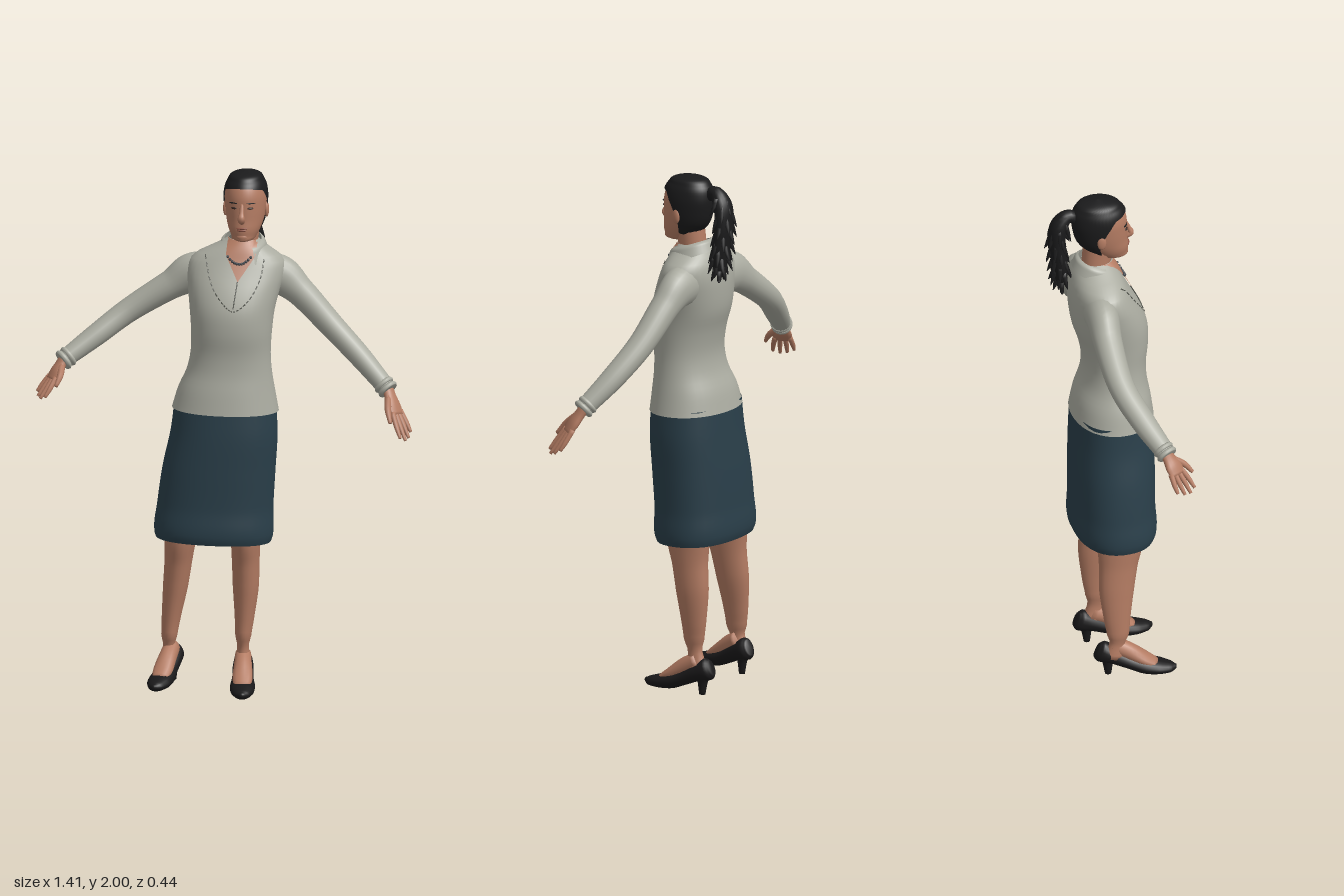
import * as THREE from 'three';

const paint = (name, color, side = THREE.FrontSide) => {
  const m = new THREE.MeshStandardMaterial({ color, side });
  m.name = name;
  return m;
};
const V = (x, y, z) => new THREE.Vector3(x, y, z);
const lerp = THREE.MathUtils.lerp;

// Smooth skin over a grid of points f(u, v); closed round u unless open is set.
function surface(f, nu, nv, open = false) {
  const pos = [], idx = [], cols = open ? nu + 1 : nu;
  for (let j = 0; j <= nv; j++)
    for (let i = 0; i < cols; i++) pos.push(...f(i / nu, j / nv, j).toArray());
  for (let j = 0; j < nv; j++)
    for (let i = 0; i < nu; i++) {
      const k = (i + 1) % cols, a = j * cols + i, b = j * cols + k;
      idx.push(a, b, b + cols, a, b + cols, a + cols);
    }
  const g = new THREE.BufferGeometry();
  g.setAttribute('position', new THREE.Float32BufferAttribute(pos, 3));
  g.setIndex(idx);
  g.computeVertexNormals();
  return g;
}

// Capped limb along points [x, y, z, radius along ref, other radius].
function sweep(pts, ref, nv = 20, nu = 16) {
  const path = new THREE.CatmullRomCurve3(pts.map(p => V(p[0], p[1], p[2])));
  const radii = new THREE.CatmullRomCurve3(pts.map(p => V(p[3], p[4] ?? p[3], 0)));
  return surface((u, v, j) => {
    const t = THREE.MathUtils.clamp((j - 1) / nv, 0, 1);
    const T = path.getTangent(t), r = radii.getPoint(t), c = path.getPoint(t);
    if (j === 0 || j === nv + 2) return c;
    const N = ref.clone().addScaledVector(T, -ref.dot(T)).normalize();
    const B = T.clone().cross(N), a = u * Math.PI * 2;
    return c.addScaledVector(N, r.x * Math.cos(a)).addScaledVector(B, r.y * Math.sin(a));
  }, nu, nv + 2);
}

// Interpolated horizontal section [cx, cz, rx, rz] from rows [y, cx, cz, rx, rz].
function sections(rows) {
  const s = new THREE.CubicInterpolant(rows.map(r => r[0]), rows.flatMap(r => r.slice(1)), 4, new Float32Array(4));
  return y => [...s.evaluate(y)];
}
function sectionPoint(at, y, a, power = 2) {
  const [cx, cz, rx, rz] = at(y), c = Math.cos(a), s = Math.sin(a);
  const k = Math.pow(Math.abs(c) ** power + Math.abs(s) ** power, -1 / power);
  return V(cx + rx * k * c, y, cz - rz * k * s);
}
function loft(at, y0, y1, power, tilt, ease) {
  return surface((u, v) => {
    const y = lerp(y0, y1, ease ? (1 - Math.cos(Math.PI * v)) / 2 : v);
    const p = sectionPoint(at, y, u * Math.PI * 2, power);
    p.y += tilt * p.x;
    return p;
  }, 40, 32);
}

export function createModel() {
  const skin = paint('skin', 0xb47c63), knit = paint('sweater grey', 0xabaca1, THREE.DoubleSide);
  const cloth = paint('skirt blue', 0x2a3f4a, THREE.DoubleSide), hair = paint('hair black', 0x1b1b1c, THREE.DoubleSide);
  const leather = paint('shoe black', 0x1a191a), seam = paint('seam grey', 0x55574f);
  const lip = paint('lip brown', 0x8c5344), eye = paint('eye brown', 0x3a2a24), metal = paint('necklace grey', 0x454a50);
  const X = V(1, 0, 0), Z = V(0, 0, 1);
  const model = new THREE.Group();
  const group = (name, parent = model) => {
    const g = new THREE.Group();
    g.name = name;
    parent.add(g);
    return g;
  };
  const add = (name, geo, mat, parent = model) => {
    const m = new THREE.Mesh(geo, mat);
    m.name = name;
    parent.add(m);
    return m;
  };

  // Sweater body and skirt
  const torso = sections([
    [1.09, 0.005, 0.014, 0.2, 0.153], [1.17, 0.01, 0.018, 0.181, 0.14], [1.24, 0.02, 0.026, 0.16, 0.122],
    [1.31, 0.025, 0.03, 0.15, 0.117], [1.4, 0.028, 0.028, 0.152, 0.129], [1.48, 0.03, 0.014, 0.16, 0.139],
    [1.55, 0.036, -0.002, 0.172, 0.131], [1.62, 0.045, -0.02, 0.182, 0.113], [1.665, 0.052, -0.027, 0.17, 0.098],
    [1.69, 0.058, -0.027, 0.135, 0.088], [1.71, 0.064, -0.025, 0.098, 0.077], [1.74, 0.072, -0.022, 0.055, 0.056]]);
  add('sweater', loft(torso, 1.09, 1.74, 2.15, -0.03), knit);
  const skirt = sections([
    [0.587, -0.04, 0.003, 0.216, 0.147], [0.6, -0.04, 0.003, 0.221, 0.153], [0.72, -0.033, 0.003, 0.217, 0.153],
    [0.86, -0.019, 0.007, 0.211, 0.153], [1, 0, 0.012, 0.2, 0.15], [1.11, 0.005, 0.013, 0.191, 0.145]]);
  add('skirt', loft(skirt, 0.587, 1.11, 2.35, -0.04), cloth);

  // Point on the chest, raised off the sweater
  const chest = (x, y, lift) => {
    const [cx, cz, rx, rz] = torso(y), q = Math.min(1, Math.abs((x - cx) / rx));
    return V(x, y - 0.03 * x, cz + rz * Math.pow(1 - q ** 2.15, 1 / 2.15) + lift);
  };
  // Open neckline, placket, V seam and necklace
  add('neckline', surface((u, v) => {
    const y = lerp(1.595, 1.74, v), w = Math.min(0.056, 0.6 * (y - 1.595));
    return chest(lerp(0.053, 0.07, v) + (u * 2 - 1) * w, y, 0.005);
  }, 12, 12, true), skin);
  const stitch = (name, a, b) => add(name, new THREE.TubeGeometry(new THREE.LineCurve3(a, b), 1, 0.0022, 5), seam);
  const vee = new THREE.CatmullRomCurve3([[-0.07, 1.68], [-0.045, 1.58], [0, 1.515], [0.037, 1.49], [0.09, 1.525],
    [0.135, 1.6], [0.152, 1.68]].map(p => V(p[0], p[1], 0)));
  for (let i = 0; i < 26; i++) {
    const [a, b] = [i / 26, (i + 0.65) / 26].map(t => vee.getPoint(t));
    stitch('neckSeam', chest(a.x, a.y, 0.001), chest(b.x, b.y, 0.001));
  }
  for (let i = 0; i < 4; i++)
    stitch('placket', chest(0.053 - 0.004 * i, 1.6 - 0.025 * i, 0.002), chest(0.049 - 0.004 * i, 1.575 - 0.025 * i, 0.002));
  for (let i = 0; i <= 10; i++) {
    const t = i / 5 - 1;
    add('necklaceBead', new THREE.SphereGeometry(0.0055, 8, 6), metal).position.copy(chest(0.058 + 0.043 * t, 1.658 + 0.025 * t * t, 0.008));
  }
  // Folded shirt collar, open at the front
  add('collar', surface((u, v) => {
    const a = lerp(0.5, Math.PI * 2 - 0.5, u), back = (1 - Math.cos(a)) / 2;
    const fold = Math.sin(Math.min(1, v * 3) * Math.PI / 2);
    const r = lerp(0.068, 0.076, fold) + 0.02 * v;
    const y = lerp(1.712, 1.757, back) + 0.006 * fold - v * lerp(0.072, 0.045, back);
    return V(0.07 + r * 1.02 * Math.sin(a), y, -0.022 + r * lerp(1.12, 0.98, back) * Math.cos(a));
  }, 36, 10, true), knit);

  // Arms and hands
  function hand(parent, wrist, tip, s) {
    const d = tip.clone().sub(wrist), at = (t, k) => wrist.clone().addScaledVector(d, t).addScaledVector(s, k).toArray();
    add('palm', sweep([[...at(-0.1, 0), 0.026, 0.022], [...at(0.1, 0), 0.027, 0.018],
      [...at(0.32, 0.002), 0.037, 0.017], [...at(0.52, 0), 0.034, 0.011]], s, 12, 14), skin, parent);
    [0.9, 0.99, 1.02, 0.95].forEach((len, i) => {
      const k = (i - 1.5) * 0.018;
      add('finger', sweep([[...at(0.45, k), 0.0105], [...at(0.72, k * 1.35), 0.0095], [...at(len, k * 1.5), 0.006]], s, 8, 8), skin, parent);
    });
    add('thumb', sweep([[...at(0.15, 0.015), 0.014], [...at(0.38, 0.05), 0.012], [...at(0.62, 0.066), 0.007]], d.clone().normalize(), 8, 8), skin, parent);
  }
  const arms = {
    rightArm: [[[-0.03, 1.59, -0.045, 0.07, 0.085], [-0.12, 1.59, -0.055, 0.062, 0.079], [-0.2, 1.545, -0.062, 0.055, 0.056],
      [-0.36, 1.445, -0.057, 0.049, 0.046], [-0.48, 1.36, -0.012, 0.046, 0.042], [-0.6, 1.277, 0.045, 0.036, 0.034]],
      V(-0.69, 1.145, 0.1), V(0.45, 0, 0.89)],
    leftArm: [[[0.13, 1.6, -0.04, 0.07, 0.085], [0.21, 1.585, -0.045, 0.062, 0.077], [0.28, 1.53, -0.037, 0.055, 0.056],
      [0.4, 1.405, -0.012, 0.05, 0.047], [0.51, 1.295, 0.035, 0.046, 0.042], [0.615, 1.185, 0.1, 0.036, 0.034]],
      V(0.69, 1.015, 0.19), V(-0.5, 0, 0.86)],
  };
  for (const [name, [pts, tip, spread]] of Object.entries(arms)) {
    const g = group(name), wrist = V(...pts[5]), dir = wrist.clone().sub(V(...pts[4])).normalize();
    add('sleeve', sweep(pts, Z, 32, 20), knit, g);
    for (const k of [-0.022, 0]) {
      const [a, b, c] = [-0.009, 0, 0.009].map(e => wrist.clone().addScaledVector(dir, k + e).toArray());
      add('cuff', sweep([[...a, 0.037], [...b, 0.041], [...c, 0.037]], Z, 6, 18), knit, g);
    }
    hand(g, wrist, tip, spread);
  }

  // Legs and shoes
  const legs = {
    rightLeg: [[[-0.13, 0.82, 0, 0.078, 0.09], [-0.163, 0.6, -0.003, 0.062, 0.09], [-0.172, 0.5, -0.012, 0.052, 0.075],
      [-0.183, 0.4, -0.022, 0.047, 0.068], [-0.199, 0.28, -0.025, 0.036, 0.052], [-0.207, 0.2, -0.024, 0.03, 0.042],
      [-0.208, 0.11, -0.035, 0.03, 0.042]], -0.26, 0.028],
    leftLeg: [[[0.08, 0.82, 0, 0.078, 0.09], [0.08, 0.6, -0.003, 0.058, 0.092], [0.08, 0.5, -0.012, 0.052, 0.075],
      [0.08, 0.4, -0.022, 0.049, 0.068], [0.075, 0.28, -0.025, 0.037, 0.052], [0.07, 0.2, -0.024, 0.03, 0.042],
      [0.07, 0.09, -0.037, 0.03, 0.042]], 0.01, 0],
  };
  for (const [name, [pts, turn, lift]] of Object.entries(legs)) {
    const g = group(name), foot = group('foot', g);
    add('leg', sweep(pts, X, 32, 20), skin, g);
    foot.position.set(pts[6][0], lift, 0);
    foot.rotation.y = turn;
    add('instep', sweep([[0, 0.13, -0.045, 0.03, 0.035], [0, 0.1, 0.015, 0.034, 0.033], [0, 0.065, 0.075, 0.038, 0.024],
      [0, 0.042, 0.12, 0.03, 0.015]], X, 12, 14), skin, foot);
    add('shoe', sweep([[0, 0.108, -0.103, 0.018, 0.03], [0, 0.1, -0.085, 0.034, 0.043], [0, 0.083, -0.04, 0.039, 0.034],
      [0, 0.056, 0.02, 0.04, 0.03], [0, 0.036, 0.08, 0.047, 0.031], [0, 0.028, 0.13, 0.045, 0.026],
      [0, 0.023, 0.175, 0.029, 0.018], [0, 0.024, 0.196, 0.008, 0.008]], X, 28, 18), leather, foot);
    add('heel', sweep([[0, 0.085, -0.066, 0.03, 0.032], [0, 0.05, -0.062, 0.018, 0.02], [0, 0, -0.06, 0.011, 0.012]], X, 10, 12), leather, foot);
  }

  // Head and neck
  add('neck', sweep([[0.07, 1.65, -0.025, 0.056], [0.076, 1.72, -0.022, 0.051, 0.055], [0.08, 1.81, -0.012, 0.052, 0.056]], X), skin);
  const head = group('head');
  head.position.x = 0.08;
  head.rotation.y = -0.12;
  const skull = sections([
    [1.738, 0, 0.06, 0, 0], [1.745, 0, 0.05, 0.03, 0.042], [1.765, 0, 0.035, 0.049, 0.064], [1.79, 0, 0.022, 0.061, 0.08],
    [1.82, 0, 0.006, 0.07, 0.093], [1.87, 0, -0.003, 0.077, 0.1], [1.92, 0, -0.007, 0.077, 0.1],
    [1.96, 0, -0.011, 0.064, 0.084], [1.983, 0, -0.013, 0.041, 0.052], [1.992, 0, -0.014, 0, 0]]);
  add('face', loft(skull, 1.738, 1.992, 2, 0, true), skin, head);
  add('nose', sweep([[0, 1.888, 0.09, 0.007], [0, 1.855, 0.104, 0.009], [0, 1.834, 0.112, 0.014, 0.012], [0, 1.822, 0.094, 0.012]], X, 12, 12), skin, head);
  const blob = (name, mat, x, y, z, rx, ry, rz) => {
    const m = add(name, new THREE.SphereGeometry(1, 16, 12), mat, head);
    m.position.set(x, y, z);
    m.scale.set(rx, ry, rz);
    return m;
  };
  blob('upperLip', lip, 0, 1.797, 0.099, 0.021, 0.004, 0.007);
  blob('lowerLip', lip, 0, 1.789, 0.098, 0.018, 0.005, 0.007);
  blob('chin', skin, 0, 1.762, 0.085, 0.024, 0.017, 0.017);
  for (const s of [-1, 1]) {
    blob('eye', eye, s * 0.031, 1.873, 0.088, 0.012, 0.0045, 0.005).rotation.y = s * 0.4;
    blob('eyebrow', hair, s * 0.033, 1.892, 0.086, 0.018, 0.0025, 0.005).rotation.y = s * 0.4;
    blob('ear', skin, s * 0.078, 1.85, -0.012, 0.009, 0.029, 0.017);
  }

  // Swept-back hair with its hairline
  const line = new THREE.LinearInterpolant([-1, -0.4, -0.12, 0.1, 0.45, 1], [1.778, 1.785, 1.845, 1.885, 1.93, 1.942], 1, new Float32Array(1));
  const pivot = V(0, 1.87, -0.005);
  add('hair', surface((u, v) => {
    const a = u * Math.PI * 2, low = line.evaluate(-Math.sin(a))[0];
    const y = 1.992 - (1.992 - low) * (1 - v) ** 2;
    return sectionPoint(skull, y, a).sub(pivot).multiplyScalar(1.066).add(pivot);
  }, 48, 24), hair, head);

  // Ponytail with loose pointed strands
  const tail = group('ponytail');
  tail.position.x = 0.085;
  const tailPts = [[0, 1.92, -0.09, 0.022], [0, 1.943, -0.13, 0.026], [0.002, 1.9, -0.166, 0.042, 0.032], [0.004, 1.82, -0.172, 0.044, 0.032],
    [0.006, 1.74, -0.162, 0.043, 0.03], [0.008, 1.67, -0.156, 0.034, 0.024], [0.01, 1.615, -0.158, 0.004]];
  add('tail', sweep(tailPts, X, 28, 16), hair, tail);
  const core = new THREE.CatmullRomCurve3(tailPts.map(p => V(p[0], p[1], p[2])));
  let seed = 7;
  const rnd = () => (seed = (seed * 16807) % 2147483647) / 2147483647;
  for (let i = 0; i < 40; i++) {
    const t = 0.28 + 0.66 * i / 40, a = i * 2.4, c = core.getPoint(t), k = t > 0.8 ? 0.65 : 1;
    const dx = Math.cos(a) * k, dz = Math.sin(a) * k, drop = 0.035 + 0.025 * rnd();
    add('strand', sweep([[c.x + dx * 0.03, c.y + 0.01, c.z + dz * 0.02, 0.011], [c.x + dx * 0.044, c.y - drop * 0.5, c.z + dz * 0.033, 0.008],
      [c.x + dx * 0.058, Math.max(1.61, c.y - drop), c.z + dz * 0.045, 0.001]], V(1, 0, 0.3), 4, 5), hair, tail);
  }
  return model;
}
